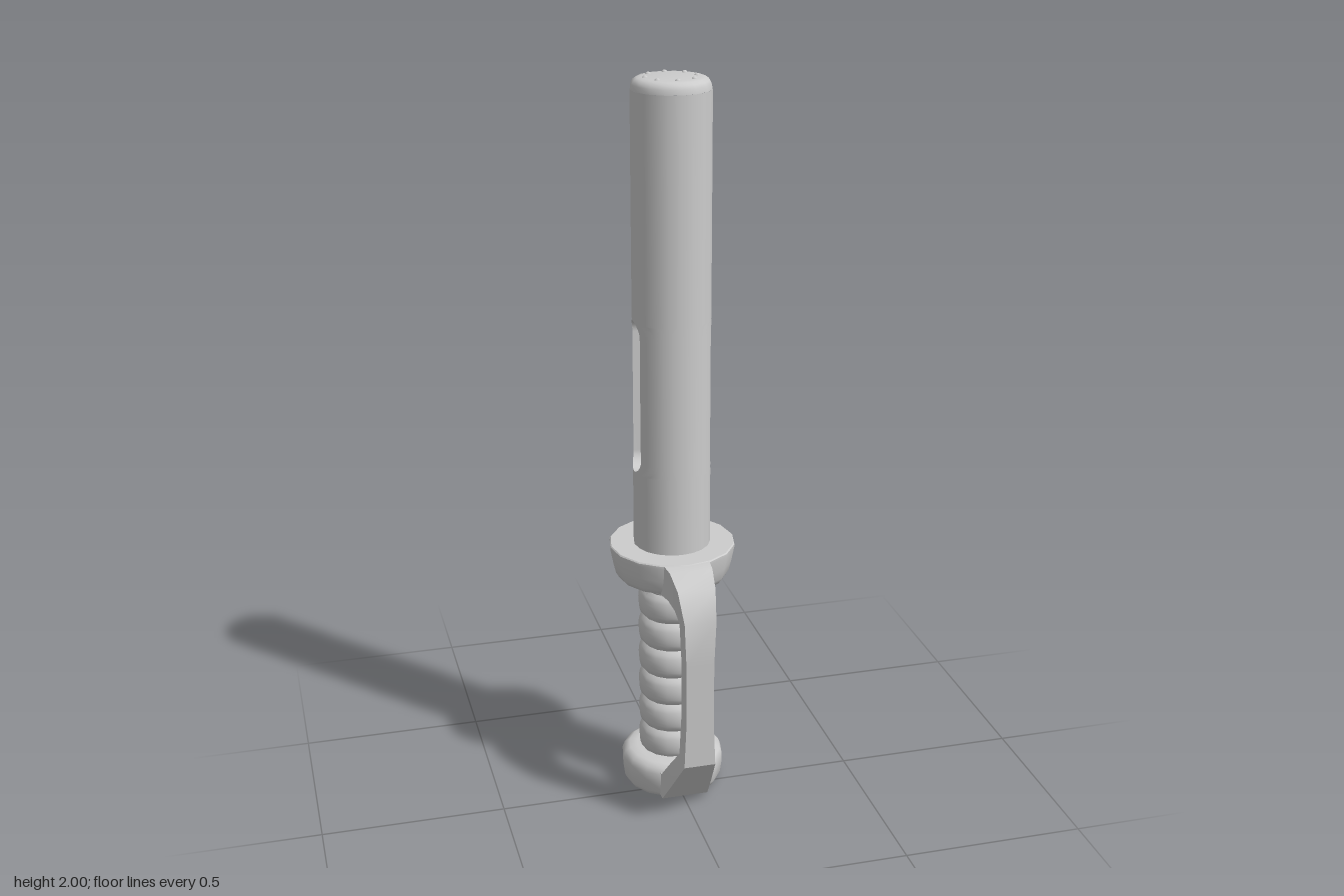
import * as THREE from 'three';
import { toCreasedNormals } from 'three/addons/utils/BufferGeometryUtils.js';

const AXIS_Z = -0.063;   // the baton axis sits behind the hand guard
const SIDES = 16;
const R = 0.104;         // barrel radius

// Surface from rows of [x, y, z] points
function grid(rows) {
  const n = rows[0].length, index = [];
  for (let i = 0; i < rows.length - 1; i++)
    for (let j = 0; j < n - 1; j++) {
      const a = i * n + j, b = a + n;
      index.push(a, b, a + 1, b, b + 1, a + 1);
    }
  const g = new THREE.BufferGeometry();
  g.setAttribute('position', new THREE.Float32BufferAttribute(rows.flat(2), 3));
  g.setIndex(index);
  g.computeVertexNormals();
  return g;
}

function lathe(points) {
  const g = new THREE.LatheGeometry(points.map(p => new THREE.Vector2(...p)), SIDES);
  return toCreasedNormals(g, 0.75);
}

export function createModel() {
  const grey = new THREE.MeshStandardMaterial({ color: 0xcccccc });
  grey.name = 'light grey';
  const model = new THREE.Group();
  model.name = 'guardedBaton';
  const body = new THREE.Group();
  body.name = 'batonBody';
  body.position.z = AXIS_Z;
  model.add(body);

  const add = (name, geometry, parent = body) => {
    const m = new THREE.Mesh(geometry, grey);
    m.name = name;
    parent.add(m);
    return m;
  };

  // Half outline of the rounded slot, as [z, y] from bottom to top
  const w = 0.043, low = 0.993, high = 1.327, outline = [];
  for (let i = 0; i <= 6; i++) {
    const t = i / 6 * Math.PI / 2;
    outline.push([w * Math.sin(t), low - w * Math.cos(t)]);
  }
  for (let i = 0; i <= 6; i++) {
    const t = i / 6 * Math.PI / 2;
    outline.push([w * Math.cos(t), high + w * Math.sin(t)]);
  }
  const edges = [[0, 0.7], ...outline, [0, 1.965]];
  const loop = [...outline, ...outline.slice().reverse().map(([z, y]) => [-z, y])];
  const floorX = 0.075;

  // Barrel: two identical halves, each with a recessed slot
  for (const side of [0, 1]) {
    const half = new THREE.Group();
    half.name = side ? 'rightBarrelHalf' : 'leftBarrelHalf';
    half.rotation.y = side * Math.PI;
    body.add(half);

    for (const s of [1, -1]) {
      const rows = edges.map(([z, y]) => {
        const a = Math.asin(z / R), row = [];
        for (let j = 0; j <= 5; j++) {
          const u = s > 0 ? j / 5 : 1 - j / 5;
          const t = s * (a + (Math.PI / 2 - a) * u);
          row.push([R * Math.cos(t), y, R * Math.sin(t)]);
        }
        return row;
      });
      const g = grid(rows), p = g.attributes.position;
      for (let i = 0; i < p.count; i++) g.attributes.normal.setXYZ(i, p.getX(i) / R, 0, p.getZ(i) / R);
      add('barrelWall', g, half);
    }

    add('slotWall', grid([
      loop.map(([z, y]) => [Math.sqrt(R * R - z * z), y, z]),
      loop.map(([z, y]) => [floorX, y, z]),
    ]), half);

    const floor = new THREE.ShapeGeometry(new THREE.Shape(
      loop.map(([z, y]) => new THREE.Vector2(z, y))));
    floor.rotateY(Math.PI / 2).translate(floorX, 0, 0);
    add('slotFloor', floor, half);
  }

  // Rounded barrel end with a ring of studs
  add('barrelCap', lathe([[R, 1.965], [0.102, 1.978], [0.097, 1.987], [0.088, 1.993], [0.075, 1.995], [0, 1.995]]));
  for (let i = 0; i < 8; i++) {
    const t = i / 8 * Math.PI * 2;
    add('stud', new THREE.SphereGeometry(0.008, 10, 8))
      .position.set(0.067 * Math.cos(t), 1.992, 0.067 * Math.sin(t));
  }

  // Cup-shaped collar between barrel and grip
  add('collar', lathe([[0, 0.635], [0.135, 0.635], [0.148, 0.641], [0.157, 0.656],
    [0.164, 0.685], [0.172, 0.726], [0.172, 0.733], [0.169, 0.736], [0, 0.736]]));

  // Ribbed grip
  const ribs = 6, pitch = 0.084, start = 0.098, grip = [[0.084, 0.08]];
  for (let i = 0; i <= ribs * 8; i++)
    grip.push([0.079 + 0.015 * Math.sqrt(Math.abs(Math.sin(i / 8 * Math.PI))), start + i / 8 * pitch]);
  grip.push([0.085, 0.608], [0.085, 0.65]);
  add('grip', lathe(grip));

  // Rounded pommel
  add('pommel', lathe([[0, 0], [0.118, 0], [0.131, 0.005], [0.138, 0.018], [0.143, 0.055],
    [0.143, 0.078], [0.137, 0.094], [0.122, 0.104], [0.1, 0.106], [0, 0.106]]));

  // Hand guard: [outer z, outer y, inner z, inner y, half width]
  const sections = [
    [0.02, 0.735, 0.02, 0.645, 0.068],
    [0.07, 0.735, 0.07, 0.64, 0.065],
    [0.14, 0.733, 0.12, 0.645, 0.058],
    [0.195, 0.702, 0.162, 0.635, 0.051],
    [0.235, 0.625, 0.182, 0.605, 0.043],
    [0.235, 0.5, 0.182, 0.5, 0.038],
    [0.235, 0.32, 0.182, 0.32, 0.038],
    [0.235, 0.197, 0.182, 0.212, 0.043],
    [0.155, 0.1, 0.125, 0.148, 0.055],
    [0.08, 0.012, 0.07, 0.085, 0.065],
    [0.03, 0.01, 0.03, 0.085, 0.065],
  ];
  const guard = grid(sections.map(([oz, oy, iz, iy, h]) =>
    [[-h, oy, oz], [h, oy, oz], [h, iy, iz], [-h, iy, iz], [-h, oy, oz]]));
  add('handGuard', toCreasedNormals(guard, 0.6), model);

  return model;
}
